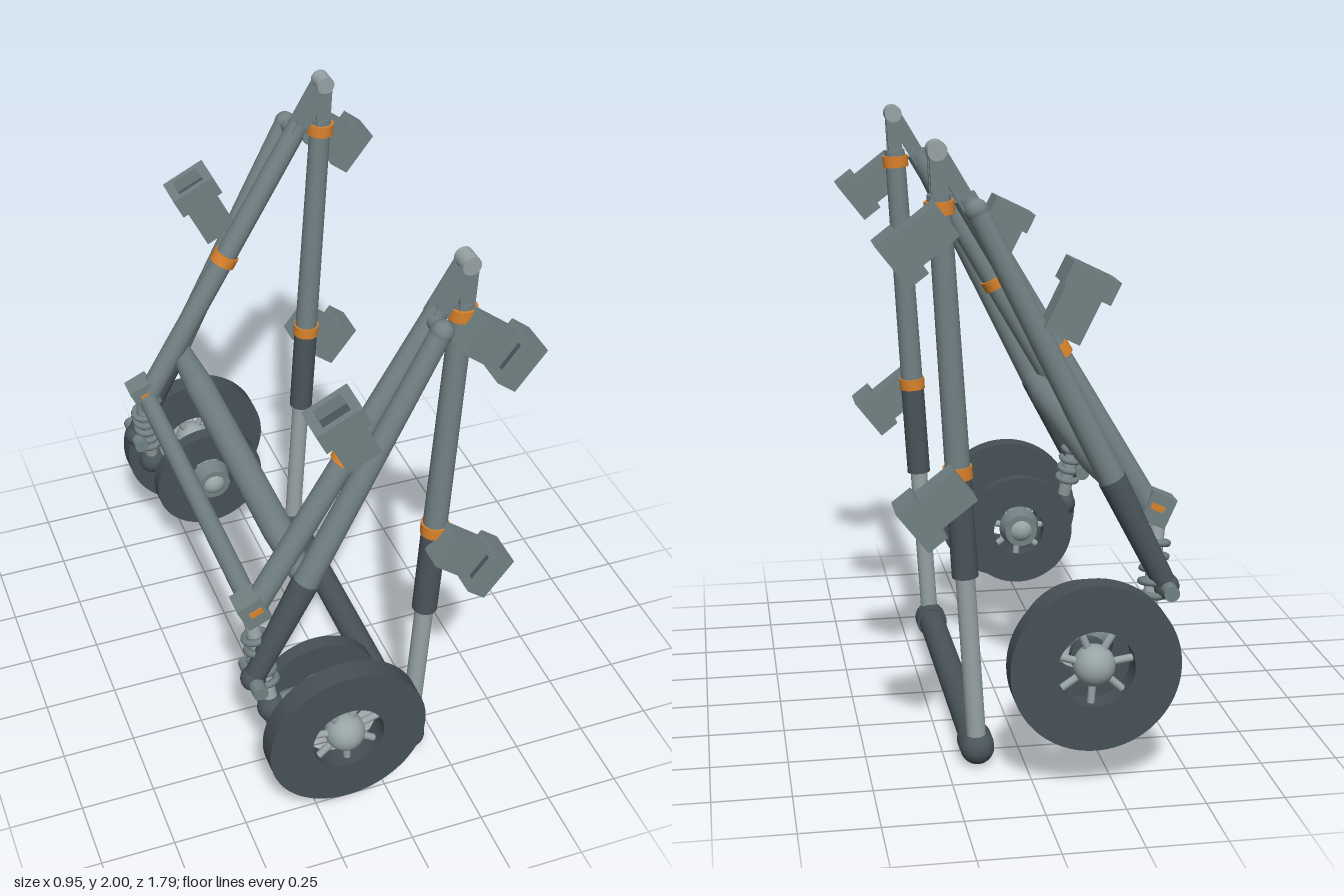
import * as THREE from 'three';

const mat = (name, color) => {
  const m = new THREE.MeshStandardMaterial({ color });
  m.name = name;
  return m;
};

export function createModel() {
  const steel = mat('grey steel', 0x728184);
  const dark = mat('dark steel', 0x4a555a);
  const tyre = mat('tyre', 0x465157);
  const light = mat('bright steel', 0x97a3a5);
  const orange = mat('orange clamp', 0xd9822b);
  const model = new THREE.Group();
  const V = (x, y, z) => new THREE.Vector3(x, y, z);

  const add = (name, geo, m, pos, parent = model) => {
    const mesh = new THREE.Mesh(geo, m);
    mesh.name = name;
    if (pos) mesh.position.copy(pos);
    parent.add(mesh);
    return mesh;
  };
  const ball = (name, m, p, r) => add(name, new THREE.SphereGeometry(r, 24, 16), m, p);
  const aim = (o, a, b, axis) => o.quaternion.setFromUnitVectors(axis, b.clone().sub(a).normalize());
  // Tube between two points, r0 at a and r1 at b
  const rod = (name, m, a, b, r0, r1 = r0) => {
    const g = new THREE.CylinderGeometry(r1, r0, a.distanceTo(b), 24);
    const mesh = add(name, g, m, a.clone().lerp(b, 0.5));
    aim(mesh, a, b, V(0, 1, 0));
    return mesh;
  };
  // Annular disc with its axis along z
  const ring = (name, m, p, ro, ri, w) => {
    const s = new THREE.Shape().absarc(0, 0, ro, 0, Math.PI * 2);
    s.holes.push(new THREE.Path().absarc(0, 0, ri, 0, Math.PI * 2, true));
    const g = new THREE.ExtrudeGeometry(s, { depth: w, bevelEnabled: false, curveSegments: 40 });
    g.translate(0, 0, -w / 2);
    return add(name, g, m, p);
  };
  // Radial spokes around a hub
  const spokes = (p, n, r0, r1) => {
    for (let i = 0; i < n; i++) {
      const a = (i / n) * Math.PI * 2 + 0.3;
      const d = V(Math.cos(a), Math.sin(a), 0);
      rod('spoke', light, p.clone().addScaledVector(d, r0), p.clone().addScaledVector(d, r1), 0.012);
    }
  };

  // Boxy clamp-on unit: local +x is the pointing direction, origin at the mount
  const unit = (x, y, z, angle, length) => {
    const g = new THREE.Group();
    g.name = 'clampUnit';
    g.position.set(x, y, z);
    g.rotation.z = angle;
    model.add(g);
    add('unitBody', new THREE.BoxGeometry(length, 0.12, 0.09), steel, V(length / 2, 0, 0), g);
    const s = new THREE.Shape([[-0.065, -0.08], [0.065, -0.08], [0.065, 0.08], [-0.065, 0.08]].map(p => new THREE.Vector2(...p)));
    s.holes.push(new THREE.Path([[-0.042, -0.048], [-0.042, 0.048], [0.042, 0.048], [0.042, -0.048]].map(p => new THREE.Vector2(...p))));
    const f = new THREE.ExtrudeGeometry(s, { depth: 0.075, bevelEnabled: false });
    f.rotateY(Math.PI / 2);
    add('unitFrame', f, steel, V(length, 0, Math.sign(z) * 0.02), g);
    add('unitRecess', new THREE.BoxGeometry(0.02, 0.1, 0.088), dark, V(length + 0.02, 0, Math.sign(z) * 0.02), g);
  };

  const legX = y => 0.27 - (1.97 - y) * 0.0628;

  for (const s of [1, -1]) {
    const P = (x, y, z) => V(x, y, z * s);
    const leg = y => P(legX(y), y, 0.6);

    // Front leg: upper tube, sleeve, sliding lower tube and foot
    rod('frontLeg', steel, leg(0.97), leg(1.84), 0.04, 0.036);
    rod('frontLegSleeve', dark, leg(0.64), leg(0.98), 0.042);
    rod('frontLegLower', light, leg(0.06), leg(0.66), 0.031);
    ball('foot', dark, leg(0.06), 0.055);

    // Inner rear rail
    const apex = P(0.268, 1.97, 0.6), railTop = P(0.185, 1.83, 0.6), railEnd = P(-0.405, 0.83, 0.6);
    rod('innerRail', steel, railEnd, railTop, 0.04, 0.036);

    // Forked tips meeting at the apex pin
    for (const [a, n] of [[leg(1.8), 'legFork'], [railTop.clone().lerp(railEnd, 0.03), 'railFork']])
      for (const o of [-0.023, 0.023]) {
        const off = V(0, 0, o);
        const plate = add(n, new THREE.BoxGeometry(0.05, a.distanceTo(apex), 0.015), steel, a.clone().lerp(apex, 0.5).add(off));
        aim(plate, a, apex, V(0, 1, 0));
      }
    rod('apexPin', light, P(0.268, 1.97, 0.567), P(0.268, 1.97, 0.633), 0.03);

    // Outer rear rail with dark lower sleeve
    const oTop = P(0.16, 1.8, 0.68), oMid = P(-0.26, 0.96, 0.68), oEnd = P(-0.44, 0.6, 0.68);
    rod('outerRail', steel, oMid, oTop, 0.042, 0.034);
    rod('outerRailSleeve', dark, oEnd, oMid, 0.036, 0.045);
    ball('outerRailCap', steel, oTop, 0.036);
    ball('outerRailJoint', dark, oEnd, 0.042);
    rod('jointPin', steel, P(-0.44, 0.6, 0.6), P(-0.44, 0.6, 0.76), 0.025);
    rod('railBridge', steel, P(0.16, 1.8, 0.6), oTop, 0.025);

    // Orange clamp bands
    const band = (c, d) => rod('clampBand', orange, c.clone().addScaledVector(d, -0.02), c.clone().addScaledVector(d, 0.02), 0.046);
    const up = V(0.0628, 1, 0).normalize();
    band(leg(1.8), up);
    band(leg(0.98), up);
    band(railEnd.clone().lerp(railTop, 0.52), railTop.clone().sub(railEnd).normalize());

    // Clamp-on units on front leg and inner rail
    unit(0.25, 1.78, 0.675 * s, -0.66, 0.14);
    unit(0.2, 0.97, 0.675 * s, -0.66, 0.14);
    unit(-0.09, 1.42, 0.685 * s, 2.08 - 0.05, 0.15);

    // Bracket at the lower end of the inner rail
    const br = add('shockBracket', new THREE.BoxGeometry(0.085, 0.1, 0.08), steel, P(-0.42, 0.84, 0.61));
    br.rotation.z = 0.42;
    const tab = add('bracketTab', new THREE.BoxGeometry(0.045, 0.02, 0.09), orange, P(-0.415, 0.85, 0.61));
    tab.rotation.z = 0.42;

    // Shock absorber with coil rings
    const sTop = P(-0.425, 0.8, 0.62), sEnd = P(-0.38, 0.46, 0.69);
    rod('shockBody', light, sTop, sEnd, 0.024);
    for (let i = 0; i < 5; i++) {
      const c = add('shockCoil', new THREE.TorusGeometry(0.036, 0.012, 8, 20), steel, sTop.clone().lerp(sEnd, 0.2 + i * 0.12));
      aim(c, sTop, sEnd, V(0, 0, 1));
    }
    ball('shockBall', dark, sEnd, 0.05);

    // Swing arm from shock to the axle
    const arm = new THREE.CatmullRomCurve3([sEnd, P(-0.3, 0.48, 0.69), P(-0.2, 0.43, 0.69), P(-0.18, 0.4, 0.66)]);
    add('swingArm', new THREE.TubeGeometry(arm, 20, 0.03, 14), steel);
    ball('swingArmEnd', steel, P(-0.18, 0.4, 0.68), 0.034);
    rod('axle', light, P(-0.18, 0.41, 0.56), P(-0.18, 0.41, 0.83), 0.02);
    rod('axleFlange', dark, P(-0.18, 0.41, 0.73), P(-0.18, 0.41, 0.76), 0.06);

    // Outer wheel
    const w = P(-0.18, 0.41, 0.827);
    ring('outerWheel', tyre, w, 0.268, 0.122, 0.076);
    ball('outerHub', light, w, 0.066);
    spokes(w, 7, 0.05, 0.13);

    // Smaller inner wheel
    const v = P(-0.19, 0.395, 0.6);
    ring('innerWheel', tyre, v, 0.205, 0.095, 0.05);
    spokes(v, 7, 0.04, 0.1);
    rod('innerHub', steel, P(-0.19, 0.41, 0.52), P(-0.19, 0.41, 0.575), 0.06, 0.075);
    ball('innerHubCap', light, P(-0.19, 0.41, 0.55), 0.05);

    // Foot bar collar and tapered ends of the main cross tube
    rod('footCollar', dark, P(0.15, 0.062, 0.53), P(0.15, 0.062, 0.59), 0.056);
    rod('crossTubeEnd', steel, P(-0.26, 0.957, 0.42), P(-0.26, 0.957, 0.66), 0.051, 0.036);
  }

  // Cross members joining both sides
  rod('footBar', dark, V(0.15, 0.062, -0.55), V(0.15, 0.062, 0.55), 0.047);
  rod('crossTube', steel, V(-0.26, 0.957, -0.42), V(-0.26, 0.957, 0.42), 0.051);
  rod('lowerCrossTube', steel, V(-0.41, 0.82, -0.6), V(-0.41, 0.82, 0.6), 0.033);

  return model;
}
